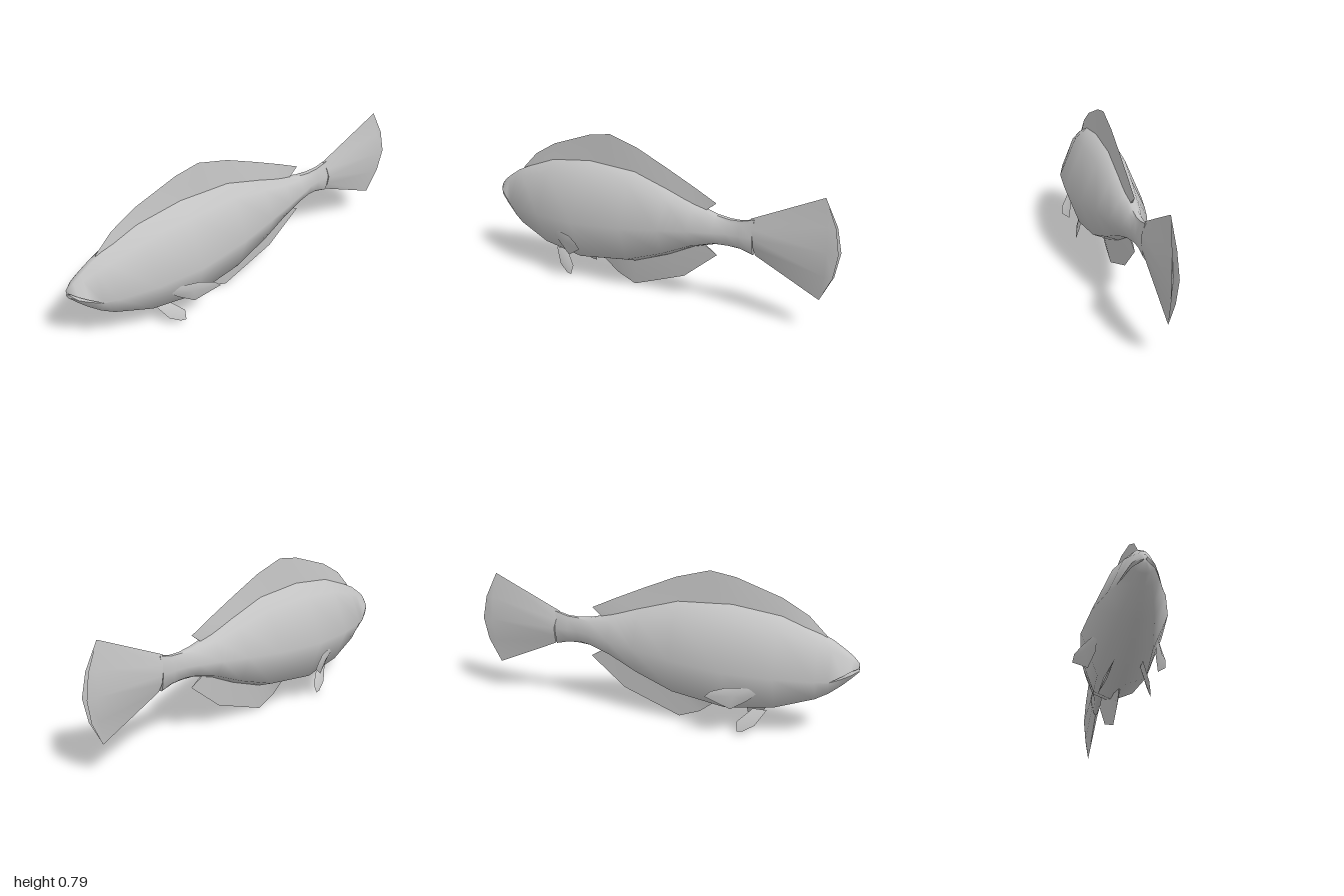
import * as THREE from 'three';
import { mergeVertices, toCreasedNormals } from 'three/addons/utils/BufferGeometryUtils.js';

const grey = new THREE.MeshStandardMaterial({ color: 0xc4c4c4 });
grey.name = 'fishGrey';

// Closed skin over equal-length rings running along +x, capped at both ends
function loft(rings, crease = 1.0) {
  const n = rings[0].length;
  const pos = rings.flat(2);
  const index = [];
  const centre = (ring) => [0, 1, 2].map((k) => ring.reduce((s, p) => s + p[k], 0) / n);
  const first = rings.length * n, last = first + 1;
  pos.push(...centre(rings[0]), ...centre(rings[rings.length - 1]));
  for (let j = 0; j < n; j++) {
    const k = (j + 1) % n;
    for (let i = 0; i < rings.length - 1; i++) {
      const a = i * n + j, b = i * n + k;
      index.push(a, b, b + n, a, b + n, a + n);
    }
    const end = (rings.length - 1) * n;
    index.push(first, k, j, last, end + j, end + k);
  }
  const geo = new THREE.BufferGeometry();
  geo.setAttribute('position', new THREE.Float32BufferAttribute(pos, 3));
  geo.setIndex(index);
  const merged = mergeVertices(geo, 1e-5);
  // drop faces that collapsed where points coincide
  const src = merged.index.array, keep = [];
  for (let i = 0; i < src.length; i += 3) {
    const [a, b, c] = [src[i], src[i + 1], src[i + 2]];
    if (a !== b && b !== c && a !== c) keep.push(a, b, c);
  }
  merged.setIndex(keep);
  return toCreasedNormals(merged, crease);
}

// Half section points, top to bottom, mirrored into a full ring
const mirrorRing = (half) => [
  ...half,
  ...half.filter((p) => p[2] > 0).reverse().map(([x, y, z]) => [x, y, -z]),
];

// Body: x, top, upper lip, lower lip, bottom, half width (lips meet behind the mouth)
function bodyGeometry() {
  const sections = [
    [-1.0, 0.405, 0.393, 0.372, 0.364, 0.012],
    [-0.97, 0.435, 0.379, 0.361, 0.335, 0.048],
    [-0.93, 0.465, 0.357, 0.345, 0.295, 0.07],
    [-0.87, 0.505, 0.326, 0.326, 0.245, 0.097],
    [-0.81, 0.533, 0.33, 0.33, 0.207, 0.122],
    [-0.62, 0.605, 0.338, 0.338, 0.134, 0.17],
    [-0.38, 0.638, 0.345, 0.345, 0.098, 0.19],
    [-0.1, 0.625, 0.365, 0.365, 0.14, 0.162],
    [0.1, 0.565, 0.385, 0.385, 0.22, 0.125],
    [0.25, 0.515, 0.4, 0.4, 0.297, 0.093],
    [0.37, 0.485, 0.408, 0.408, 0.336, 0.062],
    [0.44, 0.477, 0.41, 0.41, 0.342, 0.038],
    [0.5, 0.48, 0.41, 0.41, 0.34, 0.03],
    [0.57, 0.498, 0.41, 0.41, 0.322, 0.026],
  ];
  return loft(sections.map(([x, top, up, low, bot, w]) => {
    const open = up > low;
    return mirrorRing([
      [x, top, Math.min(0.012, w * 0.3)],
      [x, up + (top - up) * 0.79, w * 0.46],
      [x, up, w],
      [x, (up + low) / 2, open ? w * 0.25 : w],
      [x, low, w],
      [x, low + (bot - low) * 0.84, w * 0.59],
      [x, bot, Math.min(0.01, w * 0.25)],
    ]);
  }));
}

// Median fin: each station is base x, base y, edge x, edge y
function medianFin(stations, t) {
  return loft(stations.map(([bx, by, ex, ey], i) => {
    const w = i === 0 || i === stations.length - 1 ? t * 0.4 : t;
    const edge = [ex, ey, 0], left = [bx, by, w], right = [bx, by, -w];
    return ey > by ? [edge, left, right] : [left, edge, right];
  }));
}

// Paired fin: outline (counter-clockwise from +z) swollen slightly at its middle
function leafFin(outline, side, bulge) {
  const pts = outline.map(([x, y, z]) => new THREE.Vector3(x, y, z));
  const mid = pts.reduce((s, p) => s.add(p), new THREE.Vector3()).divideScalar(pts.length);
  const normal = new THREE.Vector3();
  pts.forEach((p, i) => normal.add(
    p.clone().sub(mid).cross(pts[(i + 1) % pts.length].clone().sub(mid))));
  normal.normalize().multiplyScalar(bulge);
  const out = mid.clone().add(normal), inn = mid.clone().sub(normal);
  const tris = [];
  pts.forEach((p, i) => {
    const q = pts[(i + 1) % pts.length];
    tris.push(out, p, q, inn, q, p);
  });
  if (side < 0) for (let i = 0; i < tris.length; i += 3) {
    [tris[i + 1], tris[i + 2]] = [tris[i + 2], tris[i + 1]];
  }
  const geo = new THREE.BufferGeometry().setFromPoints(
    tris.map((p) => new THREE.Vector3(p.x, p.y, p.z * side)));
  return toCreasedNormals(geo, 0.9);
}

export function createModel() {
  const fish = new THREE.Group();
  fish.name = 'fish';
  const add = (name, geo) => {
    const mesh = new THREE.Mesh(geo, grey);
    mesh.name = name;
    fish.add(mesh);
  };

  add('body', bodyGeometry());

  add('dorsalFin', medianFin([
    [-0.84, 0.5, -0.84, 0.525],
    [-0.75, 0.545, -0.75, 0.615],
    [-0.62, 0.595, -0.62, 0.69],
    [-0.4, 0.63, -0.39, 0.77],
    [-0.26, 0.625, -0.26, 0.792],
    [-0.09, 0.615, -0.09, 0.745],
    [0.08, 0.56, 0.08, 0.672],
    [0.2, 0.52, 0.24, 0.6],
    [0.305, 0.493, 0.365, 0.54],
  ], 0.014));

  add('analFin', medianFin([
    [-0.31, 0.115, -0.29, 0.1],
    [-0.22, 0.125, -0.22, 0.045],
    [-0.1, 0.15, -0.11, 0.003],
    [0.08, 0.225, 0.19, 0.12],
    [0.3, 0.32, 0.375, 0.275],
  ], 0.013));

  // Tail fan: root, widest arc, then the bevelled rear rim
  add('tailFin', loft([
    [[0.55, 0.5, 0], [0.565, 0.455, 0.02], [0.575, 0.41, 0.028], [0.575, 0.365, 0.02], [0.58, 0.32, 0]],
    [[0.91, 0.67, 0], [0.935, 0.54, 0.015], [0.943, 0.42, 0.024], [0.935, 0.3, 0.015], [0.91, 0.175, 0]],
    [[0.914, 0.67, 0], [0.975, 0.54, 0.01], [0.997, 0.42, 0.017], [0.975, 0.3, 0.01], [0.914, 0.175, 0]],
  ].map(mirrorRing), 0.6));

  // Paired fins on both flanks
  const pectoral = [
    [-0.54, 0.24, 0.135], [-0.5, 0.2, 0.135], [-0.42, 0.153, 0.16],
    [-0.305, 0.228, 0.22], [-0.335, 0.257, 0.214], [-0.4, 0.272, 0.185], [-0.53, 0.27, 0.14],
  ];
  const pelvic = [
    [-0.58, 0.13, 0.062], [-0.53, 0.055, 0.098], [-0.475, 0.022, 0.114],
    [-0.445, 0.018, 0.118], [-0.44, 0.065, 0.102], [-0.51, 0.13, 0.062],
  ];
  for (const [side, label] of [[1, 'left'], [-1, 'right']]) {
    add(`${label}PectoralFin`, leafFin(pectoral, side, 0.01));
    add(`${label}PelvicFin`, leafFin(pelvic, side, 0.008));
  }
  return fish;
}
